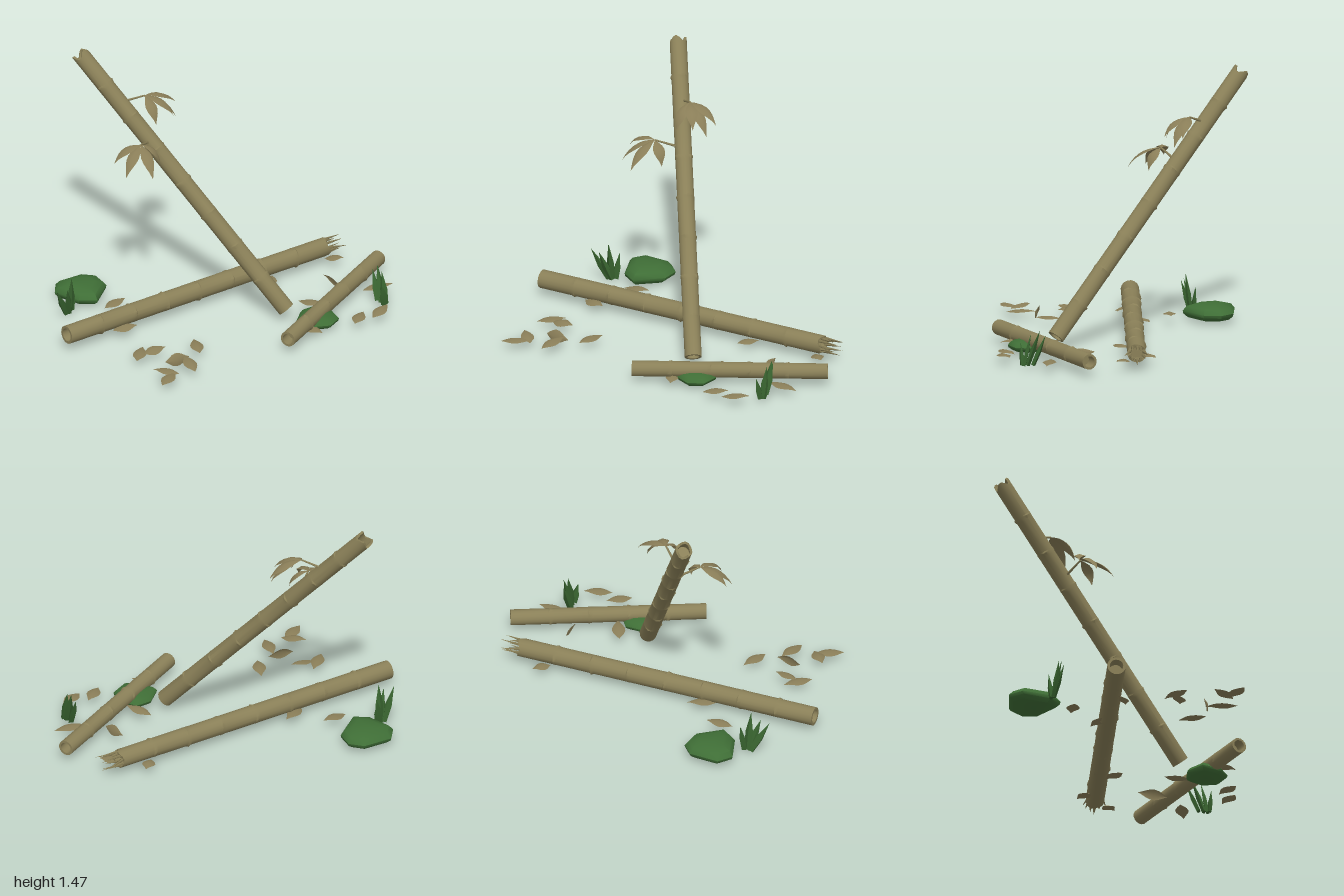
import * as THREE from 'three';
import { toCreasedNormals } from 'three/addons/utils/BufferGeometryUtils.js';

const V = (p) => new THREE.Vector3(...p);
const UP = new THREE.Vector3(0, 1, 0);

export function createModel() {
  const root = new THREE.Group();
  const cane = new THREE.MeshStandardMaterial({ name: 'dry cane', color: 0x8a8058 });
  const leafMat = new THREE.MeshStandardMaterial({ name: 'dry leaf', color: 0x8a7e58, side: THREE.DoubleSide });
  const moss = new THREE.MeshStandardMaterial({ name: 'moss green', color: 0x3f6e36 });
  const grassMat = new THREE.MeshStandardMaterial({ name: 'grass green', color: 0x38632f });

  function add(parent, name, geometry, material) {
    const mesh = new THREE.Mesh(geometry, material);
    mesh.name = name;
    parent.add(mesh);
    return mesh;
  }
  // Stand a y-up mesh on point a, pointing at b
  function aim(mesh, a, b) {
    mesh.position.copy(V(a));
    mesh.quaternion.setFromUnitVectors(UP, V(b).sub(V(a)).normalize());
    return mesh;
  }

  // Hollow cane with uneven node ridges and an optional jagged upper end
  function makeCane(name, a, b, r, jag) {
    const len = V(a).distanceTo(V(b));
    const inner = r * 0.72, deep = 0.07, count = Math.round(len / 0.23);
    const pts = [[0, deep], [inner, deep], [inner, 0], [r, 0]];
    const nodes = [];
    for (let i = 1; i < count; i++) {
      const y = (len * i) / count;
      nodes.push(y);
      pts.push([r, y - 0.02], [r, y], [r, y + 0.008]);
    }
    pts.push([r, len], [inner, len], [inner, len - deep], [0, len - deep]);
    const g = new THREE.LatheGeometry(pts.map((p) => new THREE.Vector2(...p)), 16);
    const pos = g.attributes.position;
    for (let i = 0; i < pos.count; i++) {
      const x = pos.getX(i), y = pos.getY(i), z = pos.getZ(i);
      const ang = Math.atan2(z, x);
      const n = nodes.findIndex((v) => Math.abs(v - y) < 1e-4);
      if (n >= 0) {
        const k = 1.02 + 0.12 * Math.max(0, Math.sin(3 * ang + n * 2.1));
        pos.setX(i, x * k);
        pos.setZ(i, z * k);
      }
      if (y > len - 1e-4) pos.setY(i, y - jag * (0.5 + 0.5 * Math.sin(3 * ang + 1)));
    }
    return aim(add(root, name, toCreasedNormals(g, 0.6), cane), a, b);
  }
  const logStart = [-0.993, 0.094, 0], logEnd = [0.775, 0.094, -0.207];
  makeCane('longFallenCane', logStart, logEnd, 0.052, 0.02);
  makeCane('shortFallenCane', [0.06, 0.083, 0.63], [0.972, 0.083, 0.037], 0.044, 0);
  makeCane('leaningCane', [0.24, 0.07, 0.295], [-0.54, 1.445, -0.668], 0.048, 0.035);

  // Splinters at the broken end of the long cane
  const splinters = new THREE.Group();
  splinters.name = 'splinters';
  root.add(splinters);
  for (let i = 0; i < 10; i++) {
    const t = i * 0.628, len = 0.08 + 0.05 * Math.abs(Math.sin(i * 2.3));
    const cy = Math.cos(t) * 0.038, cz = Math.sin(t) * 0.038;
    const g = new THREE.ConeGeometry(0.011, len, 4).translate(0, len / 2, 0);
    const a = [0.755, 0.094 + cy, -0.205 + cz];
    aim(add(splinters, 'splinter', g, cane), a, [0.88, 0.094 + cy * (0.6 + 0.5 * (i % 2)), -0.22 + cz * (0.8 + 0.6 * (i % 3))]);
  }

  // Folded, arched leaf from a to b
  function leaf(parent, name, a, b, width, arch, roll = 0) {
    const len = V(a).distanceTo(V(b));
    const g = new THREE.PlaneGeometry(1, 1, 2, 7);
    const pos = g.attributes.position;
    for (let i = 0; i < pos.count; i++) {
      const t = pos.getY(i) + 0.5, side = pos.getX(i);
      const w = width * Math.pow(Math.sin(Math.PI * Math.pow(t, 0.9)), 1.3);
      pos.setXYZ(i, side * w, arch * 4 * t * (1 - t) - Math.abs(side) * w * 0.35, t * len);
    }
    g.computeVertexNormals();
    const mesh = add(parent, name, g, leafMat);
    mesh.position.copy(V(a));
    mesh.lookAt(V(b));
    mesh.rotateZ(roll);
  }

  // Twigs with drooping leaves on the leaning cane
  function spray(name, start, hub, tips) {
    const group = new THREE.Group();
    group.name = name;
    root.add(group);
    const len = V(start).distanceTo(V(hub));
    aim(add(group, 'twig', new THREE.CylinderGeometry(0.005, 0.008, len, 6).translate(0, len / 2, 0), cane), start, hub);
    tips.forEach((tip) => leaf(group, 'twigLeaf', hub, tip, 0.068, 0.035));
  }
  spray('upperSpray', [-0.37, 1.18, -0.47], [-0.27, 1.225, -0.4],
    [[-0.08, 1.14, -0.38], [-0.11, 1.08, -0.33], [-0.16, 1.13, -0.27], [-0.27, 1.1, -0.27]]);
  spray('lowerSpray', [-0.29, 0.975, -0.32], [-0.39, 1.025, -0.23],
    [[-0.56, 0.95, -0.23], [-0.54, 0.9, -0.13], [-0.42, 0.9, -0.04], [-0.3, 0.91, -0.17]]);

  // Fallen leaves: base x, z, tip x, z, roll
  const litter = [
    [-0.76, 0.38, -0.65, 0.25, 0], [-0.69, 0.33, -0.55, 0.33, 0.2], [-0.41, 0.47, -0.36, 0.31, 0],
    [-0.54, 0.65, -0.51, 0.47, 0], [-0.63, 0.47, -0.48, 0.475, 1.3], [-0.63, 0.63, -0.74, 0.53, 0],
    [-0.78, 0.7, -0.64, 0.6, 0], [-0.61, -0.25, -0.46, -0.28, 0], [0.51, 0.59, 0.62, 0.49, 0],
    [0.63, 0.58, 0.77, 0.5, 0], [0.74, 0.27, 0.93, 0.28, 0], [0.37, 0.2, 0.46, 0.34, 0],
    [0.31, -0.03, 0.39, -0.13, 0], [0.74, -0.16, 0.83, -0.1, 0], [0.57, -0.22, 0.64, -0.3, 0],
    [-0.7, 0, -0.56, 0.03, 0.2], [0.24, 0.48, 0.3, 0.6, 0], [-0.42, -0.08, -0.28, -0.18, 0],
  ];
  litter.forEach(([x, z, tx, tz, roll], i) =>
    leaf(root, 'fallenLeaf', [x, 0.045, z], [tx, 0.045 + 0.012 * (i % 2), tz], 0.075, 0.015, roll));
  leaf(root, 'fallenLeaf', [0.65, 0.05, 0.2], [0.62, 0.07, 0.04], 0.06, 0.01, 1.2);

  // Mossy stone: one outline repeated at several heights
  function mound(x, z, height, outline) {
    const profile = [[0, 0], [0.8, 0], [0.97, 0.25], [1, 0.45], [0.85, 0.78], [0.5, 0.97], [0, 1]];
    const g = new THREE.LatheGeometry(profile.map((p) => new THREE.Vector2(...p)), outline.length);
    const pos = g.attributes.position;
    for (let i = 0; i < pos.count; i++) {
      const [s, h] = profile[i % profile.length];
      const [ox, oz] = outline[Math.floor(i / profile.length) % outline.length];
      pos.setXYZ(i, ox * s, h * height, oz * s);
    }
    add(root, 'mossyStone', toCreasedNormals(g, 0.8), moss).position.set(x, 0.021, z);
  }
  mound(-0.62, -0.48, 0.082, [[0.01, 0.15], [0.14, 0.02], [0.14, -0.08], [0.07, -0.14], [-0.1, -0.13], [-0.15, -0.05], [-0.08, 0.1]]);
  mound(0.35, 0.43, 0.062, [[0.03, 0.12], [0.11, 0.07], [0.12, -0.03], [0.05, -0.11], [-0.04, -0.1], [-0.12, -0.01], [-0.06, 0.09]]);

  // Grass tufts: four-sided blades from base to tip
  function tuft(blades) {
    const group = new THREE.Group();
    group.name = 'grassTuft';
    root.add(group);
    blades.forEach(([a, b], i) => {
      const h = V(a).distanceTo(V(b));
      const pts = [[0, 0], [0.021, 0], [0.024, h * 0.45], [0, h]].map((p) => new THREE.Vector2(...p));
      const g = new THREE.LatheGeometry(pts, 4).rotateY(0.4 * i).scale(1, 1, 0.6);
      aim(add(group, 'blade', toCreasedNormals(g, 0.3), grassMat), a, b);
    });
  }
  tuft([
    [[0.79, 0.02, 0.4], [0.8, 0.22, 0.33]], [[0.78, 0.02, 0.37], [0.785, 0.19, 0.3]],
    [[0.8, 0.02, 0.42], [0.8, 0.2, 0.38]], [[0.79, 0.02, 0.43], [0.77, 0.14, 0.44]],
  ]);
  tuft([
    [[-0.77, 0.02, -0.36], [-0.775, 0.24, -0.33]], [[-0.775, 0.01, -0.36], [-0.82, 0.19, -0.3]],
    [[-0.79, 0.01, -0.36], [-0.88, 0.19, -0.31]], [[-0.755, 0.015, -0.375], [-0.74, 0.17, -0.39]],
  ]);
  return root;
}
